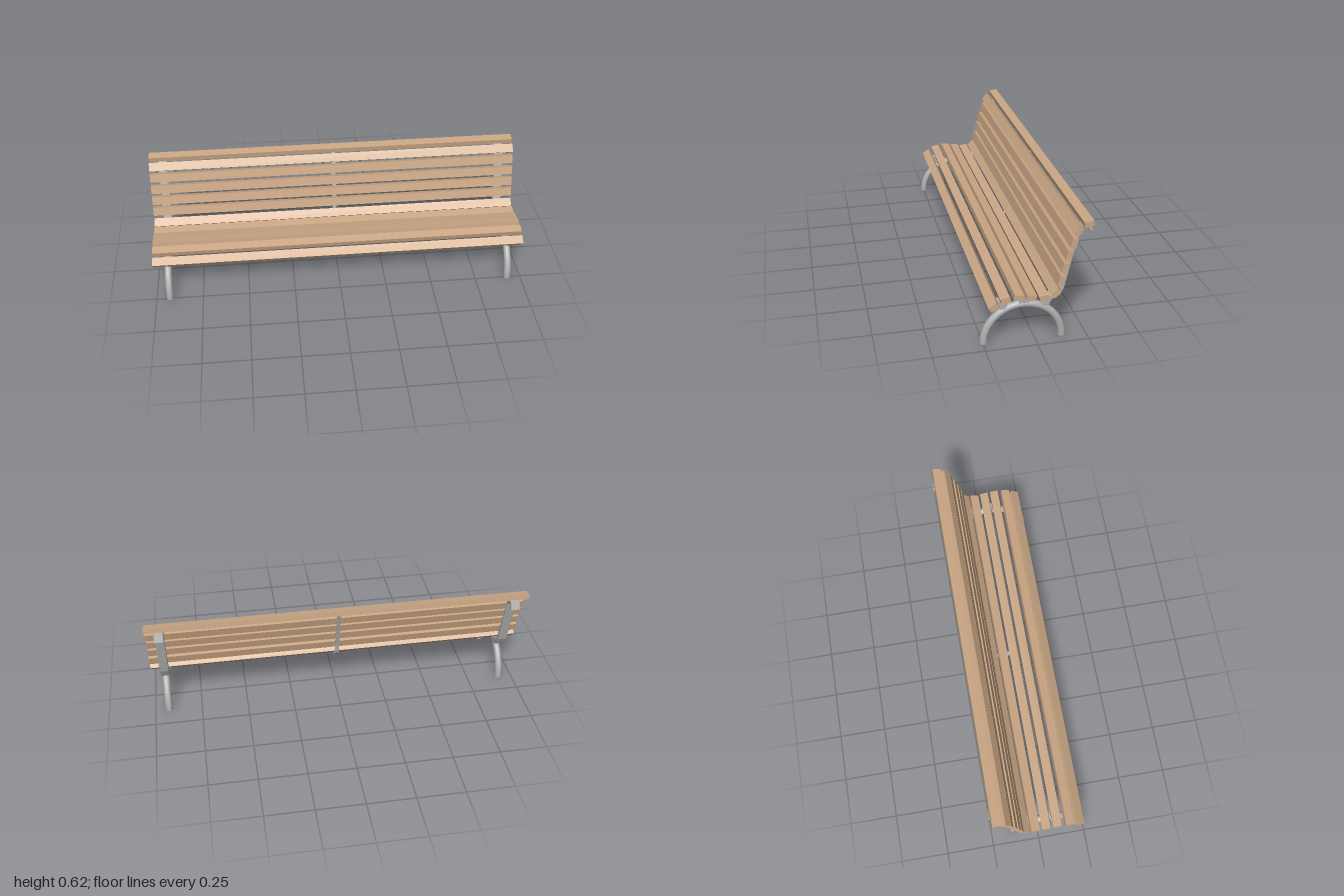
import * as THREE from 'three';

const wood = new THREE.MeshStandardMaterial({ color: 0xcba785 });
wood.name = 'wood';
const metal = new THREE.MeshStandardMaterial({ color: 0xb0b0b0 });
metal.name = 'metal';

function add(parent, geometry, material, name) {
  const mesh = new THREE.Mesh(geometry, material);
  mesh.name = name;
  parent.add(mesh);
  return mesh;
}

// Side outline given as [z, y] points, extruded across x and centred on x = 0
function sideExtrude(points, width, bevel = 0) {
  const shape = new THREE.Shape(points.map(([z, y]) => new THREE.Vector2(z, y)));
  const geometry = new THREE.ExtrudeGeometry(shape, {
    depth: width - 2 * bevel,
    bevelEnabled: bevel > 0,
    bevelSize: bevel, bevelThickness: bevel, bevelOffset: -bevel, bevelSegments: 2,
  });
  geometry.translate(0, 0, -width / 2 + bevel);
  return geometry.rotateY(-Math.PI / 2);
}

// Flat bar of even thickness bent along a smooth side path
function bentStrap(path, width, thickness) {
  const curve = new THREE.SplineCurve(path.map(([z, y]) => new THREE.Vector2(z, y)));
  const front = [], back = [];
  for (let i = 0; i <= 40; i++) {
    const p = curve.getPoint(i / 40), t = curve.getTangent(i / 40);
    const dz = -t.y * thickness / 2, dy = t.x * thickness / 2;
    front.push([p.x + dz, p.y + dy]);
    back.unshift([p.x - dz, p.y - dy]);
  }
  return sideExtrude([...front, ...back], width);
}

// Slat centre z, centre y and tilt in degrees, from seat front to top of back
const SLATS = [
  [0.21, 0.225, 35], [0.156, 0.255, 13.5], [0.093, 0.263, -6.5], [0.034, 0.255, -8.5],
  [-0.027, 0.247, 11.5], [-0.083, 0.265, 43], [-0.107, 0.328, 75], [-0.122, 0.391, 75],
  [-0.14, 0.452, 75], [-0.161, 0.513, 75], [-0.18, 0.57, 54], [-0.227, 0.603, 8],
];

// Back post with its hooked top
const POST = [
  [-0.025, 0.188], [-0.045, 0.222], [-0.094, 0.240], [-0.107, 0.262], [-0.188, 0.546],
  [-0.203, 0.571], [-0.218, 0.584], [-0.253, 0.576], [-0.266, 0.542], [-0.25, 0.541],
  [-0.236, 0.562], [-0.218, 0.564], [-0.199, 0.541], [-0.134, 0.261], [-0.116, 0.227],
  [-0.077, 0.207], [-0.06, 0.175],
];

const FRONT_BRACKET = [
  [0.189, 0.213], [0.186, 0.226], [0.172, 0.229], [0.157, 0.218], [0.134, 0.194],
  [0.15, 0.176], [0.168, 0.178], [0.177, 0.205], [0.182, 0.214],
];

const MIDDLE_BRACKET = [
  [0.08, 0.2], [0.068, 0.243], [0.04, 0.243], [0.028, 0.2],
];

const STRAP = [
  [0.055, 0.232], [-0.043, 0.222], [-0.084, 0.232], [-0.111, 0.264], [-0.127, 0.345],
  [-0.182, 0.536], [-0.202, 0.568], [-0.222, 0.582],
];

function createSupport(name) {
  const support = new THREE.Group();
  support.name = name;

  // Semicircular pipe leg with closed feet
  const hoop = new THREE.TorusGeometry(0.19, 0.0187, 20, 48, Math.PI);
  add(support, hoop.rotateY(-Math.PI / 2), metal, 'hoopLeg').position.z = 0.057;
  for (const s of [-1, 1]) {
    const cap = new THREE.CircleGeometry(0.0187, 20).rotateX(Math.PI / 2);
    add(support, cap, metal, 'footCap').position.z = 0.057 + s * 0.19;
  }

  // Cast brackets and back post
  add(support, sideExtrude(FRONT_BRACKET, 0.034, 0.003), metal, 'frontBracket');
  add(support, sideExtrude(MIDDLE_BRACKET, 0.034, 0.003), metal, 'middleBracket');
  add(support, sideExtrude(POST, 0.048, 0.004), metal, 'backPost');
  return support;
}

export function createModel() {
  const bench = new THREE.Group();
  bench.name = 'bench';

  // Wooden slats
  SLATS.forEach(([z, y, tilt], i) => {
    const slat = add(bench, new THREE.BoxGeometry(2, 0.027, 0.046), wood,
      i < 6 ? 'seatSlat' : 'backSlat');
    slat.position.set(0, y, z);
    slat.rotation.x = THREE.MathUtils.degToRad(tilt);
  });

  // End supports
  for (const [x, name] of [[0.928, 'leftSupport'], [-0.928, 'rightSupport']]) {
    const support = createSupport(name);
    support.position.x = x;
    bench.add(support);
  }

  // Centre strap and the rod that carries it between the supports
  add(bench, bentStrap(STRAP, 0.022, 0.006), metal, 'centreStrap');
  const rod = new THREE.CylinderGeometry(0.007, 0.007, 1.856, 12).rotateZ(Math.PI / 2);
  add(bench, rod, metal, 'crossRod').position.set(0, 0.233, 0.055);

  return bench;
}
